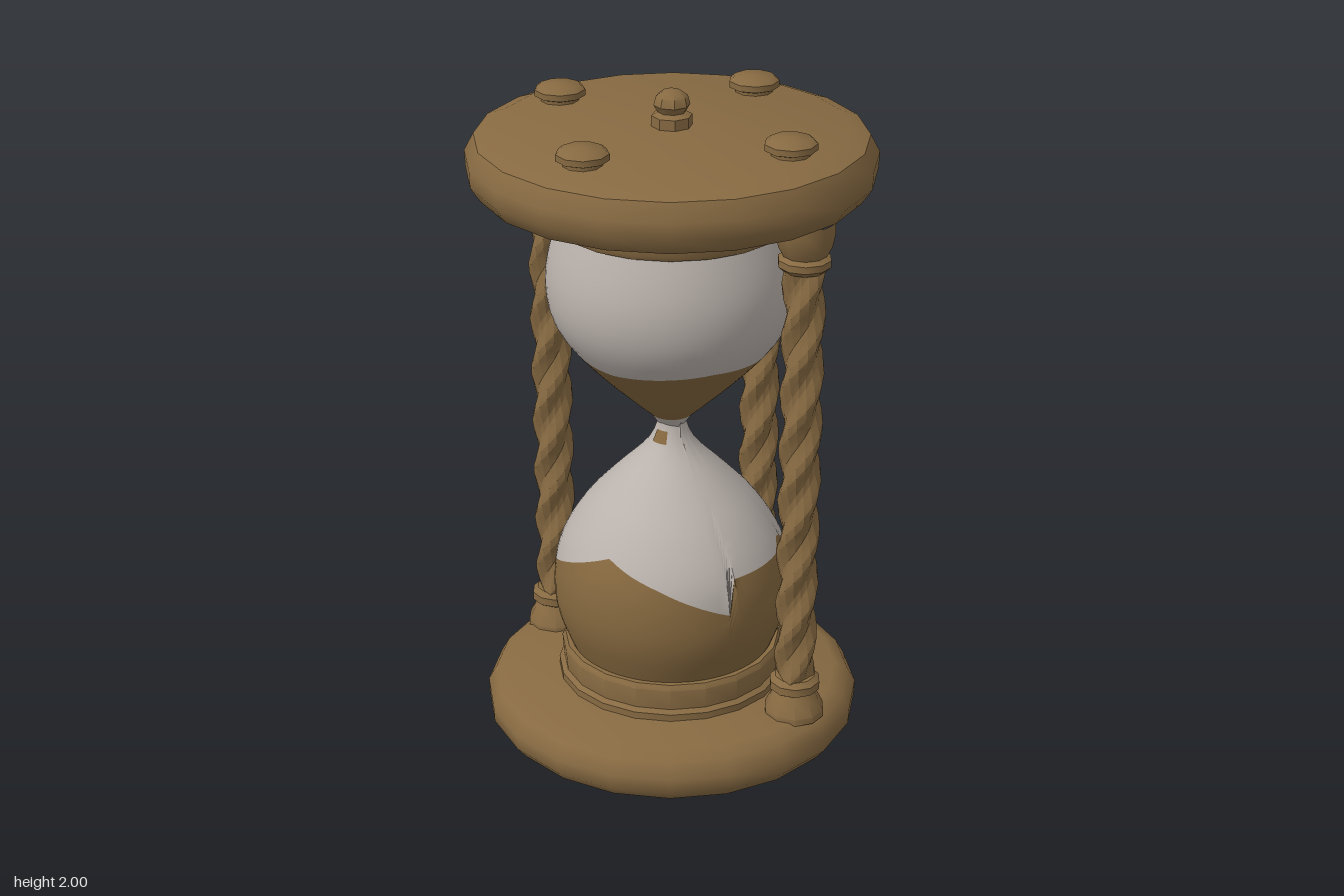
import * as THREE from 'three';
import { toCreasedNormals } from 'three/addons/utils/BufferGeometryUtils.js';

const wood = new THREE.MeshStandardMaterial({ color: 0x876a42 });
wood.name = 'wood';
const sand = new THREE.MeshStandardMaterial({ color: 0x85683f });
sand.name = 'sand';
const glass = new THREE.MeshStandardMaterial({ color: 0xbab2ac });
glass.name = 'glass';

// piecewise linear lookup through [key, value] pairs
function lookup(pairs, k) {
  for (let i = 1; i < pairs.length; i++) {
    const [k0, v0] = pairs[i - 1], [k1, v1] = pairs[i];
    if (k <= k1) return v0 + (v1 - v0) * (k - k0) / (k1 - k0);
  }
  return pairs[pairs.length - 1][1];
}

// outward-facing skin; point(u, v) with u running round and v running up
function skin(point, columns, rows, crease = 0.6) {
  const positions = [], index = [];
  for (let j = 0; j <= rows; j++)
    for (let i = 0; i <= columns; i++) positions.push(...point(i / columns, j / rows));
  for (let j = 0; j < rows; j++)
    for (let i = 0; i < columns; i++) {
      const a = j * (columns + 1) + i, d = a + columns + 1;
      index.push(a, a + 1, d + 1, a, d + 1, d);
    }
  const geo = new THREE.BufferGeometry();
  geo.setAttribute('position', new THREE.Float32BufferAttribute(positions, 3));
  geo.setIndex(index);
  return toCreasedNormals(geo, crease);
}

function add(parent, name, geometry, material, x = 0, y = 0, z = 0) {
  const mesh = new THREE.Mesh(geometry, material);
  mesh.name = name;
  mesh.position.set(x, y, z);
  parent.add(mesh);
  return mesh;
}

// turned wooden part from [radius, height] points, bottom to top
function turned(points, sides, crease = 0.7) {
  const profile = points.map(([r, y]) => new THREE.Vector2(r, y));
  return toCreasedNormals(new THREE.LatheGeometry(profile, sides), crease);
}

// bulb radius by height
const bulbCurve = new THREE.SplineCurve([
  [0.30, 0.26], [0.345, 0.38], [0.355, 0.48], [0.335, 0.6], [0.265, 0.72], [0.175, 0.82],
  [0.085, 0.91], [0.053, 0.96], [0.045, 1.0], [0.09, 1.045], [0.2, 1.15], [0.3, 1.26],
  [0.35, 1.35], [0.363, 1.45], [0.35, 1.54], [0.32, 1.64],
].map(([r, y]) => new THREE.Vector2(r, y)));
const bulbRadii = bulbCurve.getPoints(60).map((p) => [p.y, p.x]);

// height of the sand surface against the glass, by angle from the front
const lowerSandLine = [
  [0, 0.66], [30, 0.6], [60, 0.52], [68, 0.5], [70, 0.61], [105, 0.61], [115, 0.64], [120, 0.63],
  [125, 0.55], [140, 0.54], [160, 0.59], [180, 0.62], [205, 0.56], [235, 0.53], [240, 0.62],
  [270, 0.57], [300, 0.52], [330, 0.59], [360, 0.66],
];
const upperSandLine = [
  [0, 1.235], [35, 1.25], [60, 1.26], [120, 1.24], [180, 1.255], [240, 1.245], [310, 1.255], [360, 1.235],
];

// band of the bulb between two heights, each a function of the angle
function bulbBand(low, high, rows, columns = 72, from = 0, to = 360, lift = 0) {
  return skin((u, v) => {
    const deg = from + (to - from) * u, t = THREE.MathUtils.degToRad(deg);
    const y = low(deg) + (high(deg) - low(deg)) * v;
    const r = lookup(bulbRadii, y) + lift;
    return [r * Math.sin(t), y, r * Math.cos(t)];
  }, columns, rows);
}

function createPost() {
  const post = new THREE.Group();
  // twisted shaft with three strands
  add(post, 'twistedShaft', skin((u, v) => {
    const t = u * Math.PI * 2, y = 0.26 + 1.34 * v;
    const r = 0.054 + 0.009 * Math.cos(3 * t - v * 50);
    return [r * Math.sin(t), y, r * Math.cos(t)];
  }, 15, 44, 0.35), wood);
  // foot and capital
  add(post, 'postFoot', turned([
    [0.09, 0.16], [0.09, 0.18], [0.068, 0.225], [0.06, 0.24], [0.076, 0.25],
    [0.076, 0.275], [0.06, 0.29], [0, 0.29],
  ], 10), wood);
  add(post, 'postCapital', turned([
    [0, 1.575], [0.06, 1.575], [0.076, 1.59], [0.076, 1.61], [0.062, 1.62],
    [0.078, 1.65], [0.086, 1.69], [0.086, 1.72],
  ], 10), wood);
  return post;
}

export function createModel() {
  const model = new THREE.Group();
  model.name = 'hourglass';

  // round end plates
  add(model, 'basePlate', turned([
    [0, 0], [0.49, 0.01], [0.535, 0.025], [0.563, 0.06], [0.565, 0.105],
    [0.54, 0.15], [0.5, 0.168], [0, 0.17],
  ], 20), wood);
  add(model, 'topPlate', turned([
    [0, 1.71], [0.5, 1.712], [0.55, 1.73], [0.58, 1.775], [0.582, 1.825],
    [0.555, 1.875], [0.5, 1.895], [0, 1.9],
  ], 20), wood);

  // collars holding the bulbs
  add(model, 'lowerCollar', turned([
    [0.345, 0.16], [0.345, 0.19], [0.33, 0.2], [0.335, 0.265], [0.325, 0.28], [0.25, 0.28],
  ], 20), wood);
  add(model, 'upperCollar', turned([
    [0.25, 1.625], [0.34, 1.625], [0.348, 1.64], [0.348, 1.695], [0.335, 1.72],
  ], 20), wood);

  // bulbs, split at the sand line
  const lowerLine = (deg) => lookup(lowerSandLine, deg);
  const upperLine = (deg) => lookup(upperSandLine, deg);
  add(model, 'lowerSand', bulbBand(() => 0.26, lowerLine, 8), sand);
  add(model, 'lowerGlassAndNeck', bulbBand(lowerLine, () => 1.02, 16), glass);
  add(model, 'upperSand', bulbBand(() => 1.02, upperLine, 8), sand);
  add(model, 'upperGlass', bulbBand(upperLine, () => 1.64, 10), glass);
  // trickle of sand in the neck
  add(model, 'sandTrickle', bulbBand(() => 0.94, () => 0.975, 2, 4, -22, 22, 0.003), sand);

  // three posts, open at the front
  [[-0.453, 0, 'rightPost'], [0.453, 0, 'leftPost'], [0, -0.453, 'backPost']].forEach(([x, z, name]) => {
    const post = createPost();
    post.name = name;
    post.position.set(x, 0, z);
    model.add(post);
  });

  // four studs and a central finial on top
  const stud = turned([
    [0.055, 1.885], [0.055, 1.905], [0.074, 1.912], [0.074, 1.93], [0.06, 1.942], [0, 1.945],
  ], 9);
  for (const [x, z] of [[0.4, 0], [-0.4, 0], [0, 0.4], [0, -0.4]]) add(model, 'topStud', stud, wood, x, 0, z);
  add(model, 'finial', turned([
    [0.058, 1.885], [0.058, 1.93], [0.04, 1.94], [0.052, 1.96], [0.045, 1.985], [0.025, 2.0], [0, 2.0],
  ], 8), wood);

  return model;
}
